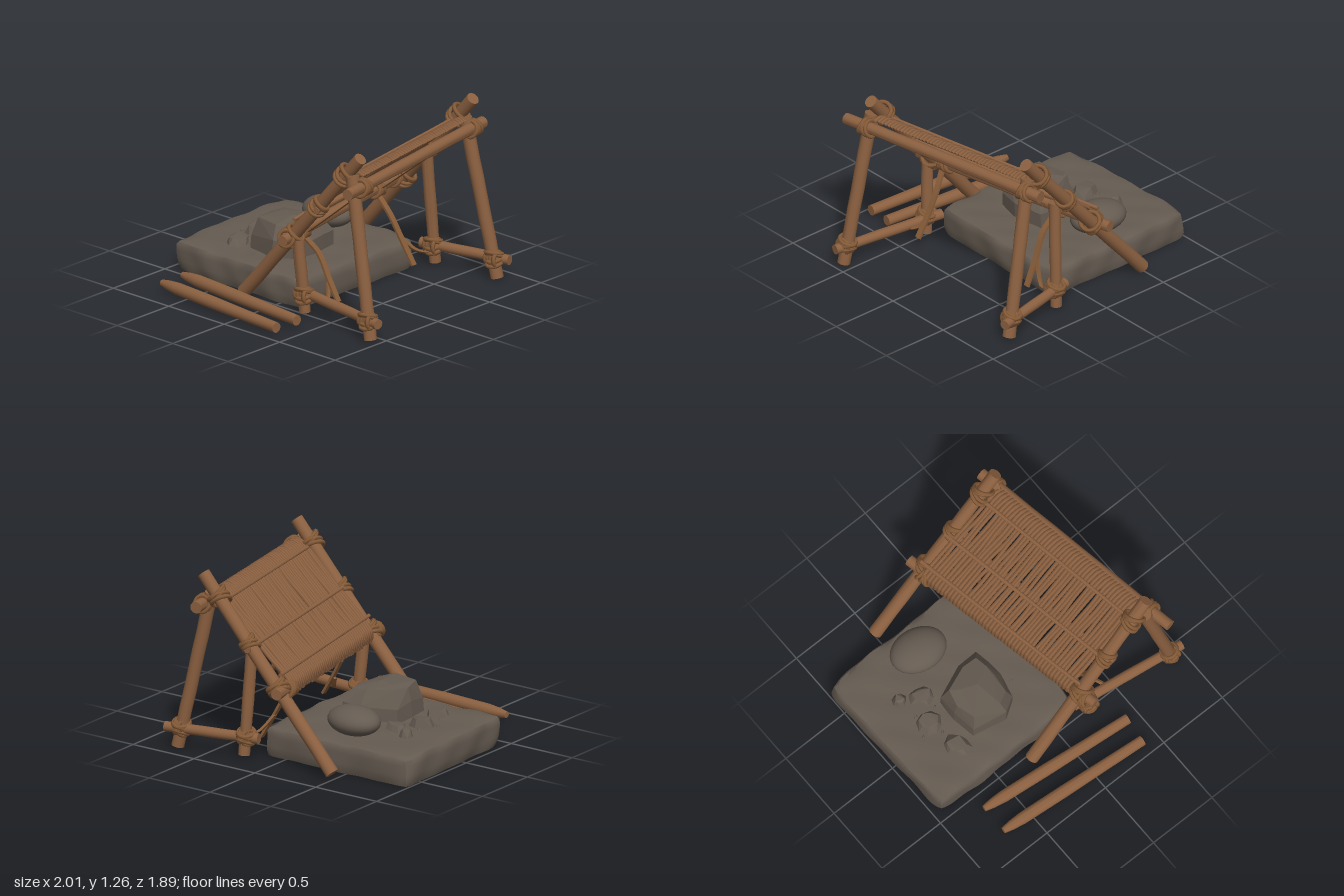
import * as THREE from 'three';
import { mergeVertices, mergeGeometries, toCreasedNormals } from 'three/addons/utils/BufferGeometryUtils.js';
import { ConvexGeometry } from 'three/addons/geometries/ConvexGeometry.js';

const V = (x, y, z) => new THREE.Vector3(x, y, z);
const UP = V(0, 1, 0);

export function createModel() {
  const model = new THREE.Group();
  const wood = new THREE.MeshStandardMaterial({ color: 0x8b6040 });
  wood.name = 'wood';
  const rope = new THREE.MeshStandardMaterial({ color: 0x855b38 });
  rope.name = 'rope';
  const stone = new THREE.MeshStandardMaterial({ color: 0x655b51 });
  stone.name = 'stone';

  let seed = 7;
  const rnd = () => (seed = (seed * 16807) % 2147483647) / 2147483647;
  const noise = (x, y, z) =>
    Math.sin(x * 11 + z * 5 + 1) * Math.cos(z * 9 - y * 13) * 0.6 + Math.sin(x * 23 - z * 19 + y * 17) * 0.4;

  function add(name, geometry, material) {
    const mesh = new THREE.Mesh(geometry, material);
    mesh.name = name;
    model.add(mesh);
    return mesh;
  }

  // Moves the shared vertices of a geometry by a rule, then restores soft normals
  function deform(geometry, rule, crease = 0.7) {
    geometry.deleteAttribute('uv');
    geometry.deleteAttribute('normal');
    const g = mergeVertices(geometry, 1e-4);
    const p = g.attributes.position;
    const v = V(0, 0, 0);
    for (let i = 0; i < p.count; i++) {
      rule(v.fromBufferAttribute(p, i));
      p.setXYZ(i, v.x, v.y, v.z);
    }
    return toCreasedNormals(g, crease);
  }

  function between(geometry, a, b) {
    const dir = b.clone().sub(a).normalize();
    geometry.applyQuaternion(new THREE.Quaternion().setFromUnitVectors(UP, dir));
    const mid = a.clone().add(b).multiplyScalar(0.5);
    return geometry.translate(mid.x, mid.y, mid.z);
  }

  // Slightly uneven log between two points
  function pole(name, a, b, r) {
    const g = deform(new THREE.CylinderGeometry(r * 0.97, r * 1.03, a.distanceTo(b), 14, 8), v => {
      const k = 1 + 0.03 * Math.sin(v.y * 17 + a.x * 9 + v.x * 30);
      v.x *= k;
      v.z *= k;
    });
    return add(name, between(g, a, b), wood);
  }

  // Crossed rope coils around a joint
  function lashing(at, axis, r) {
    const coils = [];
    for (const [shift, tilt] of [[-0.03, 0.35], [0, 0.3], [0.02, -0.45], [0.035, -0.3]]) {
      const g = new THREE.TorusGeometry(r, 0.014, 6, 18).rotateX(Math.PI / 2 + tilt).translate(0, shift, 0);
      g.applyQuaternion(new THREE.Quaternion().setFromUnitVectors(UP, axis.clone().normalize()));
      coils.push(g.translate(at.x, at.y, at.z));
    }
    add('lashing', mergeGeometries(coils), rope);
  }

  // Two leaning poles, their legs and ground braces
  const frontLean = [V(-0.25, 0.04, 0.54), V(0.76, 1.22, 0.495)];
  const backLean = [V(-0.49, 0.04, -0.8), V(0.555, 1.235, -0.82)];
  pole('frontLeaningPole', ...frontLean, 0.045);
  pole('backLeaningPole', ...backLean, 0.045);
  pole('frontLongLeg', V(0.72, 1.1, 0.53), V(0.925, 0.01, 0.575), 0.045);
  pole('backLongLeg', V(0.51, 1.1, -0.79), V(0.735, 0.01, -0.86), 0.045);
  pole('frontShortLeg', V(0.23, 0.53, 0.53), V(0.265, 0.02, 0.5), 0.04);
  pole('backShortLeg', V(0.22, 0.78, -0.73), V(0.25, 0.02, -0.78), 0.04);
  pole('frontBrace', V(0.17, 0.14, 0.46), V(1.0, 0.135, 0.58), 0.035);
  pole('backBrace', V(0.15, 0.14, -0.75), V(0.81, 0.14, -0.9), 0.035);

  // Crossbars
  const upper = [V(0.53, 1.03, -0.94), V(0.815, 1.03, 0.68)];
  const lower = [V(-0.11, 0.54, -0.91), V(0.2, 0.54, 0.65)];
  const middle = [V(0.16, 0.79, -0.87), V(0.43, 0.79, 0.57)];
  pole('upperCrossbar', ...upper, 0.04);
  pole('lowerCrossbar', ...lower, 0.038);
  pole('middleCrossbar', ...middle, 0.022);

  // Lashings at every joint
  for (const [lean, far] of [[frontLean, false], [backLean, true]]) {
    const axis = lean[1].clone().sub(lean[0]);
    for (const t of [0.425, 0.645, 0.88]) {
      lashing(lean[0].clone().lerp(lean[1], t), axis, t === 0.645 ? 0.055 : 0.066);
    }
    const z = far ? -0.82 : 0.5;
    lashing(V(far ? 0.55 : 0.785, 1.03, z), upper[1].clone().sub(upper[0]), 0.055);
    lashing(V(far ? -0.09 : 0.175, 0.54, z + 0.06), lower[1].clone().sub(lower[0]), 0.055);
  }
  for (const p of [V(0.9, 0.14, 0.57), V(0.26, 0.14, 0.5), V(0.71, 0.14, -0.86), V(0.245, 0.14, -0.77)]) {
    lashing(p, V(-0.12, 1, 0), 0.056);
    lashing(p, V(1, 0, 0.15), 0.05);
  }

  // Stick mat, bent over the lower and upper crossbars
  const lowX = z => -0.11 + (z + 0.91) * 0.199;
  const highX = z => 0.53 + (z + 0.94) * 0.176;
  const sticks = [];
  const count = 46;
  for (let i = 0; i < count; i++) {
    const z = -0.755 + (1.21 * i) / (count - 1);
    const a = lowX(z), b = highX(z), j = () => (rnd() - 0.5) * 0.012;
    const start = V(a - 0.01, 0.61, z), end = V(b - 0.09, 1.09, z);
    const points = [V(a - 0.03, 0.5 + j(), z), V(a - 0.048, 0.555, z), start];
    for (const t of [0.25, 0.5, 0.75]) points.push(start.clone().lerp(end, t).add(V(j(), j(), j())));
    points.push(end, V(b - 0.045, 1.1 + j(), z), V(b - 0.015, 1.085, z));
    sticks.push(new THREE.TubeGeometry(new THREE.CatmullRomCurve3(points), 20, 0.0145, 6));
  }
  add('stickMat', mergeGeometries(sticks), wood);

  // Thin rods that pin the mat from above
  for (const t of [0.06, 0.42, 0.92]) {
    const at = z => V(lowX(z) - 0.01, 0.61, z).lerp(V(highX(z) - 0.09, 1.09, z), t).add(V(-0.014, 0.014, 0));
    pole('matRod', at(-0.82), at(0.52), 0.013);
  }

  // Flat straps: taut stays and loose ends under the mat
  function strap(name, points, width) {
    const curve = new THREE.CatmullRomCurve3(points);
    const n = 12, pos = [], index = [];
    for (let i = 0; i <= n; i++) {
      const p = curve.getPoint(i / n);
      for (const [du, dz] of [[-1, -1], [-1, 1], [1, 1], [1, -1]]) {
        pos.push(p.x + du * 0.007, p.y + du * 0.005, p.z + (dz * width) / 2);
      }
      for (let k = 0; k < 4 && i < n; k++) {
        const c = i * 4 + k, d = i * 4 + ((k + 1) % 4);
        index.push(c, d, c + 4, d, d + 4, c + 4);
      }
    }
    index.push(0, 2, 1, 0, 3, 2, n * 4, n * 4 + 1, n * 4 + 2, n * 4, n * 4 + 2, n * 4 + 3);
    const g = new THREE.BufferGeometry();
    g.setAttribute('position', new THREE.Float32BufferAttribute(pos, 3));
    g.setIndex(index);
    add(name, toCreasedNormals(g, 0.6), strapRope);
  }
  const strapRope = rope;
  strapRope.side = THREE.DoubleSide;
  strap('frontStay', [V(0.76, 1.0, 0.38), V(0.48, 0.765, 0.4), V(0.21, 0.54, 0.42)], 0.045);
  strap('backStay', [V(0.57, 1.0, -0.63), V(0.28, 0.765, -0.57), V(0.01, 0.54, -0.5)], 0.045);
  strap('frontLooseEnd', [V(0.2, 0.5, 0.42), V(0.28, 0.4, 0.38), V(0.36, 0.25, 0.375), V(0.45, 0.1, 0.375)], 0.04);
  strap('frontLooseTail', [V(0.36, 0.22, 0.38), V(0.4, 0.15, 0.42), V(0.43, 0.12, 0.47)], 0.03);
  strap('backLooseEnd', [V(0.01, 0.5, -0.49), V(0.11, 0.4, -0.49), V(0.19, 0.25, -0.51), V(0.29, 0.07, -0.53)], 0.04);
  strap('backLooseTail', [V(0.19, 0.24, -0.52), V(0.24, 0.15, -0.6), V(0.28, 0.12, -0.67)], 0.03);
  for (const [a, b] of [[0.16, 0.42], [-0.02, -0.5]]) lashing(V(a, 0.54, b), V(0.2, 0, 1), 0.047);

  // Rough stone slab with worn edges
  add('stoneSlab', deform(new THREE.BoxGeometry(1.17, 0.21, 1.13, 36, 6, 36), v => {
    const ex = Math.abs(v.x) / 0.585, ez = Math.abs(v.z) / 0.565, ey = Math.abs(v.y) / 0.105;
    const n = noise(v.x, v.y, v.z);
    const worn = 1 - 0.025 * ey ** 4 - 0.035 * (ex * ez) ** 8;
    const side = Math.max(ex, ez) > 0.99 ? 1 + 0.017 * n : 1;
    v.x = v.x * worn * side - 0.4 + (v.x < 0 ? v.z * 0.035 : 0);
    v.z = v.z * worn * side - 0.105;
    v.y = v.y > 0.1 ? 0.205 + 0.006 * n - 0.012 * Math.max(ex, ez) ** 12 : v.y < -0.1 ? 0 : v.y + 0.105;
  }), stone);

  // Large angular boulder from stacked outlines
  const outline = [[-0.51, -0.1], [-0.38, -0.13], [-0.28, -0.2], [-0.13, -0.2], [-0.11, -0.08],
    [-0.1, 0.03], [-0.14, 0.2], [-0.25, 0.27], [-0.49, 0.22], [-0.52, 0.05]];
  const rock = [];
  for (const [x, z] of outline) {
    rock.push(V(x, 0.2, z), V(x + 0.01 * rnd(), 0.29 + 0.05 * rnd(), z * 0.98));
    const k = 0.72 + 0.14 * rnd();
    rock.push(V(-0.29 + (x + 0.29) * k, 0.385 + 0.02 * rnd() + (x < -0.2 ? 0.02 : 0), 0.03 + (z - 0.03) * k));
  }
  rock.push(V(-0.4, 0.43, -0.02), V(-0.29, 0.432, 0.02));
  add('boulder', new ConvexGeometry(rock), stone);

  // Smooth round stone
  const egg = add('roundStone', new THREE.SphereGeometry(1, 32, 20), stone);
  egg.scale.set(0.2, 0.098, 0.152);
  egg.position.set(-0.41, 0.302, -0.45);
  egg.rotation.y = -0.15;

  // Broken chips and pebbles
  const chips = [[-0.71, -0.28, 0.05, 0.06], [-0.58, -0.21, 0.085, 0.05], [-0.66, -0.03, 0.095, 0.06],
    [-0.61, 0.21, 0.095, 0.055], [-0.75, 0.02, 0.014, 0.012], [-0.7, -0.12, 0.018, 0.015],
    [-0.63, 0.07, 0.014, 0.012], [-0.05, 0.08, 0.014, 0.012], [-0.56, -0.1, 0.014, 0.012], [-0.68, 0.14, 0.012, 0.01]];
  for (const [x, z, r, h] of chips) {
    const pts = [];
    for (let i = 0; i < 8; i++) {
      const a = (i / 8) * Math.PI * 2, k = r * (0.75 + 0.35 * rnd()), s = 0.5 + 0.3 * rnd();
      pts.push(V(x + Math.cos(a) * k, 0.2, z + Math.sin(a) * k));
      pts.push(V(x + Math.cos(a) * k * s, 0.2 + h * (0.75 + 0.3 * rnd()), z + Math.sin(a) * k * s));
    }
    add('stoneChip', new ConvexGeometry(pts), stone);
  }

  // Sharpened stakes lying on the ground
  for (const [a, b] of [[V(-0.73, 0.06, 0.62), V(0.41, 0.058, 0.735)], [V(-0.73, 0.06, 0.82), V(0.39, 0.05, 0.912)]]) {
    const len = a.distanceTo(b);
    const profile = [[0, 0], [0.022, 0.004], [0.034, 0.07], [0.042, 0.16], [0.043, 0.5], [0.039, 0.8], [0.036, len], [0, len]];
    const g = new THREE.LatheGeometry(profile.map(([r, y]) => new THREE.Vector2(r, y - len / 2)), 14);
    add('stake', between(toCreasedNormals(g, 0.7), a, b), wood);
  }
  return model;
}
